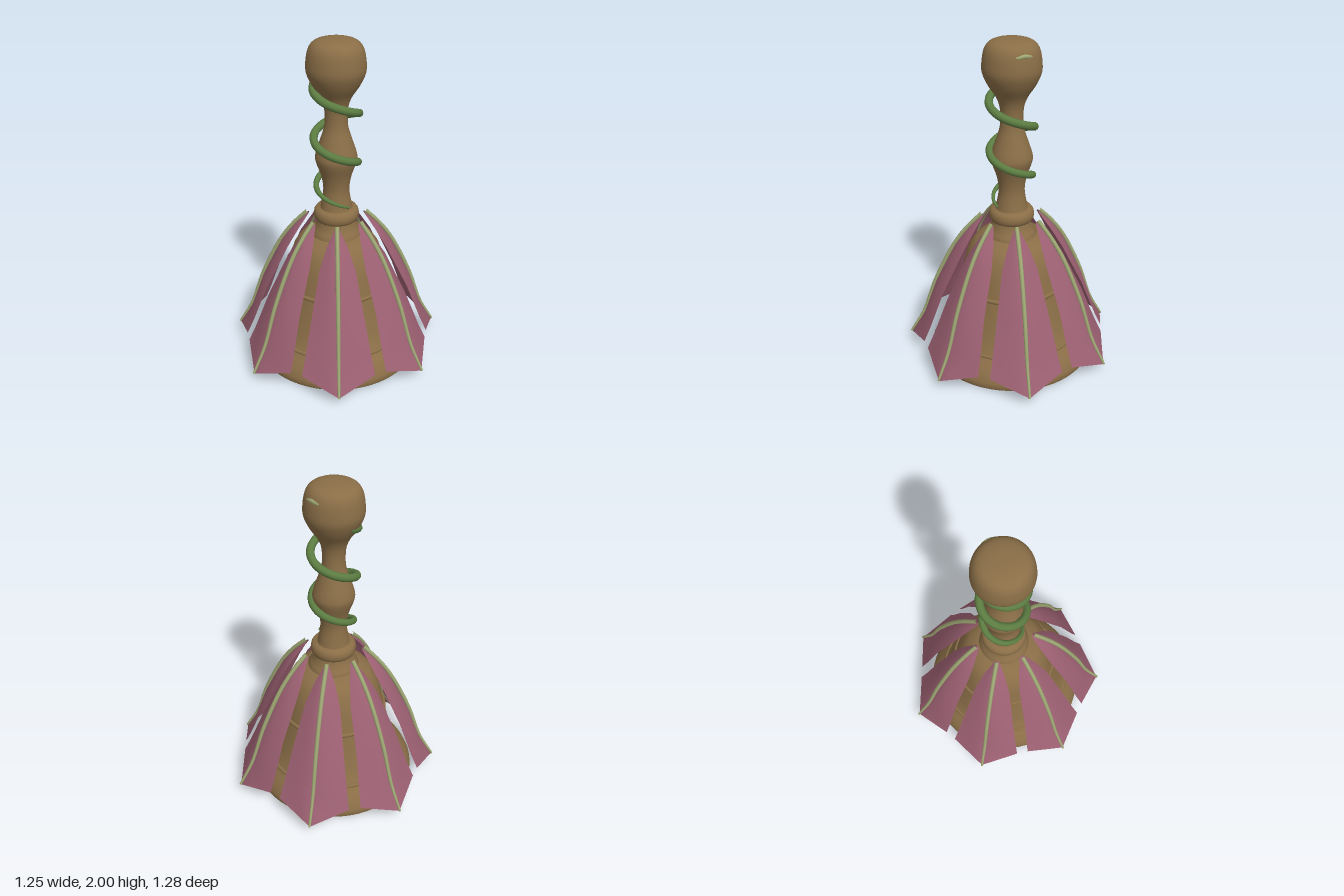
import * as THREE from 'three';
import { toCreasedNormals } from 'three/addons/utils/BufferGeometryUtils.js';

const mat = (name, color) => {
  const m = new THREE.MeshStandardMaterial({ color });
  m.name = name;
  return m;
};

const v2 = (pts) => pts.map(([x, y]) => new THREE.Vector2(x, y));
const v3 = (pts) => pts.map(([x, y, z]) => new THREE.Vector3(x, y, z));

function add(parent, name, geometry, material) {
  const mesh = new THREE.Mesh(geometry, material);
  mesh.name = name;
  parent.add(mesh);
  return mesh;
}

// Tube whose radius follows a rule along its length
function taperedTube(curve, segments, radius, sides, scaleAt) {
  const geo = new THREE.TubeGeometry(curve, segments, radius, sides);
  const pos = geo.attributes.position;
  const p = new THREE.Vector3();
  for (let i = 0; i <= segments; i++) {
    const c = curve.getPointAt(i / segments);
    for (let j = 0; j <= sides; j++) {
      const k = i * (sides + 1) + j;
      p.fromBufferAttribute(pos, k).sub(c).multiplyScalar(scaleAt(i / segments)).add(c);
      pos.setXYZ(k, p.x, p.y, p.z);
    }
  }
  return geo;
}

// Petal rows: centre radius, centre height, edge radius, edge height, half width
const PETAL_ROWS = [
  [0.175, 0.93, 0.17, 0.92, 0.012],
  [0.26, 0.84, 0.225, 0.83, 0.06],
  [0.345, 0.72, 0.29, 0.71, 0.105],
  [0.47, 0.46, 0.41, 0.45, 0.155],
  [0.555, 0.22, 0.49, 0.23, 0.195],
  [0.645, 0.06, 0.53, 0.135, 0.215],
];

function petalGeometry() {
  const n = 8, position = [], index = [];
  PETAL_ROWS.forEach(([rc, yc, re, ye, hw], row) => {
    for (let j = 0; j <= n; j++) {
      const u = (j / n) * 2 - 1;
      const t = Math.pow(Math.abs(u), row === PETAL_ROWS.length - 1 ? 1 : 1.6);
      position.push(rc + (re - rc) * t, yc + (ye - yc) * t, u * hw);
      if (row > 0 && j < n) {
        const a = (row - 1) * (n + 1) + j, b = a + n + 1;
        index.push(a, a + 1, b, a + 1, b + 1, b);
      }
    }
  });
  const geo = new THREE.BufferGeometry();
  geo.setAttribute('position', new THREE.Float32BufferAttribute(position, 3));
  geo.setIndex(index);
  geo.computeVertexNormals();
  return geo;
}

export function createModel() {
  const wood = mat('brown wood', 0x8a6e47);
  const pink = mat('dusty pink', 0x9c6072);
  pink.side = THREE.DoubleSide;
  const green = mat('vine green', 0x5c7c42);
  const pale = mat('pale green', 0x9da673);

  const model = new THREE.Group();
  model.name = 'flowerHandbell';
  const bell = new THREE.Group();
  bell.name = 'bell';
  bell.position.x = -0.034;
  model.add(bell);

  // Hollow bell body: inner wall down, rounded lip, outer wall up
  const body = new THREE.LatheGeometry(v2([
    [0, 0.74], [0.17, 0.72], [0.24, 0.64], [0.28, 0.48], [0.33, 0.3], [0.37, 0.17],
    [0.42, 0.09], [0.455, 0.03], [0.465, 0.008], [0.48, 0], [0.5, 0.004], [0.506, 0.02],
    [0.503, 0.045], [0.48, 0.095], [0.445, 0.14], [0.41, 0.18], [0.375, 0.28],
    [0.345, 0.38], [0.315, 0.5], [0.29, 0.62], [0.26, 0.72], [0.215, 0.785], [0.15, 0.815], [0, 0.82],
  ]), 64);
  add(bell, 'bellBody', toCreasedNormals(body, 0.8), wood);

  // Raised bands round the body
  [[0.414, 0.17], [0.316, 0.5]].forEach(([r, y]) => {
    const band = add(bell, 'bellBand', new THREE.TorusGeometry(r, 0.013, 8, 64), wood);
    band.rotation.x = Math.PI / 2;
    band.position.y = y;
  });

  // Collar between bell and handle
  add(bell, 'collar', toCreasedNormals(new THREE.LatheGeometry(v2([
    [0.12, 0.8], [0.15, 0.805], [0.152, 0.82], [0.135, 0.84], [0.115, 0.88], [0.11, 0.905],
    [0.125, 0.91], [0.133, 0.925], [0.135, 0.945], [0.131, 0.965], [0.12, 0.98], [0.08, 0.985],
  ]), 48), 0.9), wood);

  // Turned handle with a round knob
  const profile = new THREE.SplineCurve(v2([
    [0.1, 0.97], [0.092, 1.0], [0.077, 1.1], [0.09, 1.19], [0.12, 1.28], [0.119, 1.33],
    [0.09, 1.42], [0.068, 1.5], [0.068, 1.6], [0.09, 1.67], [0.135, 1.74], [0.166, 1.81],
    [0.168, 1.87], [0.155, 1.94], [0.125, 1.98], [0.07, 1.997], [0.0001, 2.0],
  ]));
  add(bell, 'handle', new THREE.LatheGeometry(profile.getPoints(64), 48), wood);

  // Clapper
  add(bell, 'clapper', new THREE.SphereGeometry(0.08, 24, 16), wood).position.y = 0.18;
  add(bell, 'clapperRod', new THREE.CylinderGeometry(0.015, 0.015, 0.5, 12), wood).position.y = 0.49;

  // Seven petals, each with a midrib
  const petal = petalGeometry();
  const ribPath = new THREE.CatmullRomCurve3(v3(PETAL_ROWS.map(([r, y]) => [r + 0.004, y + 0.003, 0])));
  const rib = taperedTube(ribPath, 24, 0.013, 8, (t) => 1 - 0.45 * Math.pow(t, 4));
  for (let i = 0; i < 7; i++) {
    const group = new THREE.Group();
    group.name = 'petal';
    group.rotation.y = (i * Math.PI * 2) / 7;
    add(group, 'petalBlade', petal, pink);
    add(group, 'petalMidrib', rib, pale);
    bell.add(group);
  }

  // Vine winding down the handle from the knob
  const vinePoints = [];
  for (let i = 0; i <= 60; i++) {
    const t = i / 60;
    const a = Math.PI * (1.15 - 5.1 * t);
    const r = 0.13 - 0.025 * Math.pow(t, 5);
    vinePoints.push([r * Math.cos(a), 1.775 - 0.765 * t, r * Math.sin(a)]);
  }
  const vinePath = new THREE.CatmullRomCurve3(v3(vinePoints));
  add(bell, 'vine', taperedTube(vinePath, 160, 0.024, 10,
    (t) => 1 - 0.7 * Math.pow(t, 6)), green);

  // Pale tendril just breaking the back of the knob
  const tendril = [];
  for (let i = 0; i <= 6; i++) {
    const a = -0.7 - i * 0.16;
    tendril.push([0.15 * Math.cos(a), 1.935 - Math.abs(i - 3) * 0.003, 0.15 * Math.sin(a)]);
  }
  add(bell, 'tendril', taperedTube(new THREE.CatmullRomCurve3(v3(tendril)), 24, 0.013, 8,
    (t) => Math.sin(Math.PI * (0.08 + 0.84 * t))), pale);

  return model;
}
